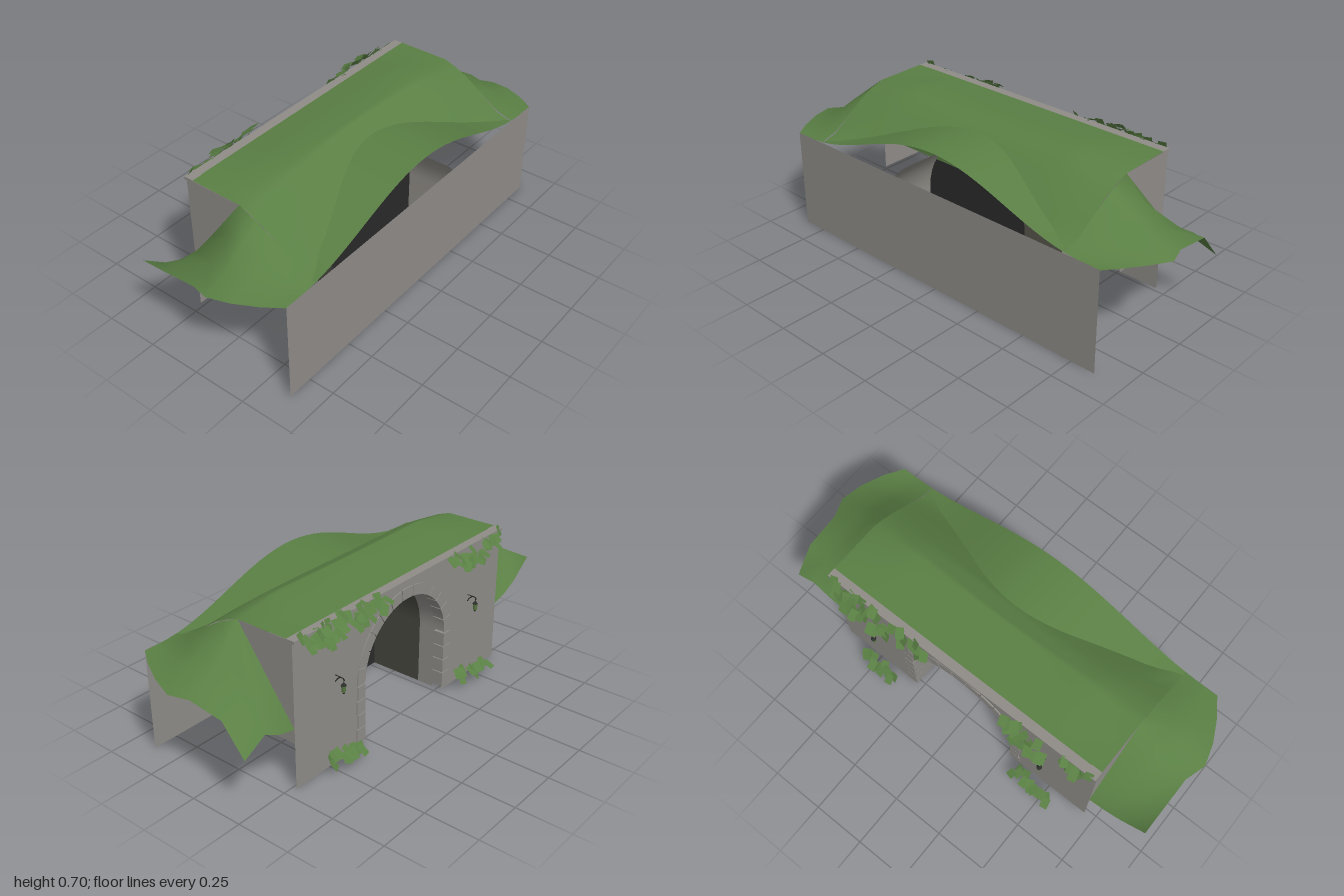
import * as THREE from 'three';

export function createModel() {
  const root = new THREE.Group();
  const mat = (name, color, side = THREE.DoubleSide) => {
    const m = new THREE.MeshStandardMaterial({ color, side });
    m.name = name;
    return m;
  };
  const stone = mat('stone', 0x8f8c88);
  const lining = mat('tunnel stone', 0x8f8c86, THREE.FrontSide);
  const dark = mat('tunnel shade', 0x47473f);
  const black = mat('tunnel end', 0x2a2a2b);
  const grass = mat('grass', 0x5a7f44);
  const leaf = mat('ivy', 0x5a8044);
  const iron = mat('iron', 0x2d2f2c);
  const glass = mat('lantern glass', 0x5c7d45);

  const add = (name, geo, material, parent = root) => {
    const m = new THREE.Mesh(geo, material);
    m.name = name;
    parent.add(m);
    return m;
  };
  // Surface through rows of [x, y, z] points
  const sheet = (rows) => {
    const n = rows[0].length, idx = [];
    for (let i = 0; i < rows.length - 1; i++)
      for (let j = 0; j < n - 1; j++) {
        const a = i * n + j, c = a + n;
        idx.push(a, a + 1, c, a + 1, c + 1, c);
      }
    const g = new THREE.BufferGeometry();
    g.setAttribute('position', new THREE.Float32BufferAttribute(rows.flat(2), 3));
    g.setIndex(idx);
    g.computeVertexNormals();
    return g;
  };
  const lerp = THREE.MathUtils.lerp;

  // ---- Tunnel dimensions: straight jambs with a half-round top
  const R = 0.28, SPRING = 0.3, FX = -0.27;
  const archLine = (r) => {
    const pts = [[r, 0]];
    for (let i = 0; i <= 20; i++) {
      const a = Math.PI * i / 20;
      pts.push([r * Math.cos(a), SPRING + r * Math.sin(a)]);
    }
    pts.push([-r, 0]);
    return pts;
  };
  const tunnel = (x0, x1) => sheet([x0, x1].map((x) => archLine(R).map(([z, y]) => [x, y, z])));
  // Shape drawn in (-z, y) and stood up facing the x axis
  const standing = (geo, x) => geo.rotateY(Math.PI / 2).translate(x, 0, 0);

  // ---- Facade with arch opening
  const wall = new THREE.Shape();
  wall.moveTo(-0.7, 0);
  archLine(R).reverse().forEach(([z, y]) => wall.lineTo(z, y));
  wall.lineTo(0.7, 0).lineTo(0.7, 0.665).lineTo(-0.7, 0.665);
  add('facade', standing(new THREE.ShapeGeometry(wall), FX), stone);
  add('parapetLedge', new THREE.BoxGeometry(0.045, 0.014, 1.4).translate(-0.2595, 0.661, 0), stone);
  for (const s of [1, -1])
    add('wingWall', new THREE.PlaneGeometry(0.282, 0.45).translate(-0.129, 0.44, s * 0.7), stone);
  add('backWall', new THREE.PlaneGeometry(1.73, 0.47).rotateY(Math.PI / 2).translate(0.38, 0.235, 0), stone);

  // ---- Tunnel
  add('tunnelMouth', tunnel(-0.22, -0.14), stone);
  add('tunnelMiddle', tunnel(-0.14, 0.12), dark);
  add('tunnelBack', tunnel(0.12, 0.38), lining);
  const cap = new THREE.Shape(archLine(R).map(([z, y]) => new THREE.Vector2(z, y)));
  add('tunnelEnd', standing(new THREE.ShapeGeometry(cap), 0.12), black);

  // ---- Arch stones
  const stones = new THREE.Group();
  stones.name = 'archStones';
  root.add(stones);
  const COUNT = 13;
  for (let i = 0; i < COUNT; i++) {
    const a0 = Math.PI * i / COUNT + 0.008, a1 = Math.PI * (i + 1) / COUNT - 0.008;
    const s = new THREE.Shape();
    s.absarc(0, SPRING, 0.325, a0, a1, false);
    s.absarc(0, SPRING, R - 0.004, a1, a0, true);
    const g = new THREE.ExtrudeGeometry(s, { depth: 0.056, bevelEnabled: false, curveSegments: 3 });
    add('archStone', standing(g, -0.276), stone, stones);
  }
  for (const s of [1, -1])
    for (let i = 0; i < 4; i++) {
      const w = i % 2 ? 0.046 : 0.052;
      add('jambStone', new THREE.BoxGeometry(0.056, 0.064, w)
        .translate(-0.248, 0.0565 + i * 0.068, s * (R - 0.004 + w / 2)), stone, stones);
    }

  // ---- Hill: a slope that runs into a rounded mound over the back of the tunnel
  const slope = [[0.01, 0.7], [0.1, 0.66], [0.2, 0.585], [0.3, 0.5], [0.38, 0.468]];
  const mound = (z) => 0.468 + 0.187 * Math.cos(Math.min(Math.abs(z) / 0.8, 1) * Math.PI / 2) ** 2;
  const slopeX = (y) => {
    for (let i = 0; i < 4; i++) {
      const [x0, y0] = slope[i], [x1, y1] = slope[i + 1];
      if (y >= y1) return lerp(x0, x1, (y - y0) / (y1 - y0));
    }
    return 0.38;
  };
  const slopeY = (x) => {
    for (let i = 0; i < 4; i++) {
      const [x0, y0] = slope[i], [x1, y1] = slope[i + 1];
      if (x <= x1) return lerp(y0, y1, (x - x0) / (x1 - x0));
    }
    return 0.468;
  };
  const slopeRows = [], moundRows = [];
  for (let i = 0; i <= 28; i++) {
    const z = 0.7 - i * 0.05, y = mound(z), xm = slopeX(y);
    const drop = 0.035 * THREE.MathUtils.clamp((Math.abs(z) - 0.47) / 0.23, 0, 1);
    const row = [[-0.24, 0.668, z], [-0.12, 0.684 - drop / 2, z]];
    for (let k = 0; k <= 6; k++) {
      const x = lerp(0.01, xm, k / 6);
      row.push([x, slopeY(x) - drop * (1 - k / 6), z]);
    }
    slopeRows.push(row);
    moundRows.push([0, 0.5, 1].map((t) => [lerp(xm, 0.38, t), y, z]));
  }
  add('hillTop', sheet(slopeRows), grass);
  add('hillMound', sheet(moundRows), grass);
  add('hillInnerBank', sheet([0, 1].map((t) => moundRows.map(([p]) =>
    [0.126, t ? 0.455 : Math.max(0.455, p[1] - 0.004), p[2]]))), grass);

  // ---- Hill ends, falling away beside the wing walls
  const cols = [-0.27, -0.16, 0.01, 0.1, 0.2, 0.3, 0.38];
  const edgeZ = [0.97, 0.97, 0.97, 1, 0.97, 0.92, 0.865];
  const heights = [
    [0.28, 0.43, 0.665, 0.628, 0.568, 0.5, 0.476],
    [0.3, 0.41, 0.575, 0.575, 0.535, 0.49, 0.47],
    [0.34, 0.41, 0.485, 0.5, 0.49, 0.475, 0.468],
  ];
  const frontEdge = [0.425, 0.43, 0.443, 0.462, 0.465, 0.467, 0.468];
  const backEdge = [0.28, 0.41, 0.432, 0.435, 0.452, 0.463, 0.468];
  for (const s of [1, -1]) {
    const rows = [...heights, s > 0 ? frontEdge : backEdge].map((ys, i) =>
      ys.map((y, j) => [cols[j], y, s * lerp(0.7, edgeZ[j], [0, 0.3, 0.6, 1][i])]));
    add(s > 0 ? 'hillFrontEnd' : 'hillBackEnd', sheet(s > 0 ? rows.reverse() : rows), grass);
  }

  // ---- Lanterns on curved brackets
  for (const s of [1, -1]) {
    const lamp = new THREE.Group();
    lamp.name = 'lantern';
    lamp.position.z = s * 0.46;
    root.add(lamp);
    const curve = new THREE.CatmullRomCurve3([[-0.27, 0.385], [-0.285, 0.405], [-0.3, 0.415],
      [-0.316, 0.413], [-0.318, 0.405]].map(([x, y]) => new THREE.Vector3(x, y, 0)));
    add('bracket', new THREE.TubeGeometry(curve, 12, 0.0025, 5), iron, lamp);
    add('arm', new THREE.CylinderGeometry(0.002, 0.002, 0.035, 5).rotateZ(Math.PI / 2)
      .translate(-0.286, 0.416, 0), iron, lamp);
    add('hanger', new THREE.CylinderGeometry(0.0015, 0.0015, 0.02, 5).translate(-0.314, 0.402, 0), iron, lamp);
    add('lanternRoof', new THREE.CylinderGeometry(0.003, 0.013, 0.012, 6).translate(-0.314, 0.39, 0), iron, lamp);
    add('lanternGlass', new THREE.CylinderGeometry(0.011, 0.008, 0.03, 6).translate(-0.314, 0.369, 0), glass, lamp);
    add('lanternBase', new THREE.CylinderGeometry(0.008, 0.003, 0.008, 6).translate(-0.314, 0.35, 0), iron, lamp);
  }

  // ---- Ivy: small tilted leaves hanging outward from the wall
  let seed = 7;
  const rnd = (a, b) => {
    seed = (seed * 16807) % 2147483647;
    return lerp(a, b, seed / 2147483647);
  };
  const leafGeo = new THREE.PlaneGeometry(0.036, 0.05).translate(0, -0.02, 0);
  const ivy = (name, z0, z1, count, x0, x1, y0, y1) => {
    const g = new THREE.Group();
    g.name = name;
    root.add(g);
    for (let i = 0; i < count; i++) {
      const m = add('leaf', leafGeo, leaf, g);
      const t = rnd(0, 1);
      m.position.set(lerp(x0, x1, t), lerp(y0, y1, t) + rnd(-0.012, 0.012), lerp(z0, z1, (i + rnd(0, 1)) / count));
      m.rotation.set(rnd(0.4, 1.1), -Math.PI / 2 + rnd(-0.6, 0.6), rnd(-0.3, 0.3), 'YXZ');
      m.rotation.x *= -1;
    }
  };
  ivy('topIvy', -0.67, -0.55, 9, -0.275, -0.3, 0.675, 0.635);
  ivy('topIvy', -0.6, -0.33, 24, -0.275, -0.335, 0.688, 0.635);
  ivy('topIvy', -0.32, -0.16, 10, -0.275, -0.3, 0.675, 0.635);
  ivy('topIvy', 0.25, 0.48, 20, -0.275, -0.335, 0.688, 0.635);
  ivy('topIvy', 0.54, 0.67, 9, -0.275, -0.3, 0.675, 0.635);
  for (const z of [-0.46, 0.44])
    ivy('groundIvy', z - 0.1, z + 0.1, 13, -0.29, -0.34, 0.095, 0.065);
  return root;
}
